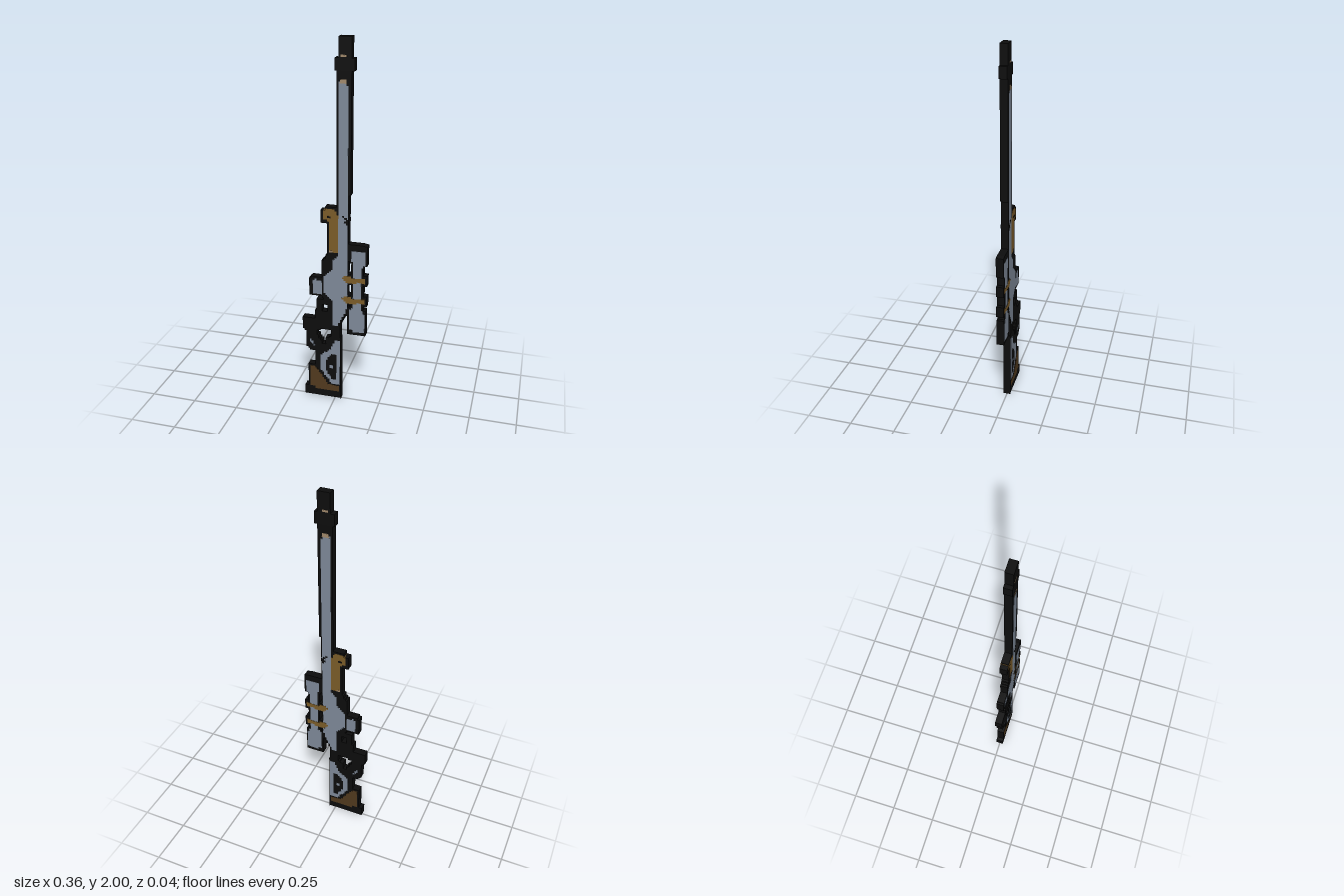
import * as THREE from 'three';

const CELL = 0.01;
const mat = (name, color) => new THREE.MeshStandardMaterial({ name, color });

// Turn a polygon into a pixel-like outline: sloped edges become stair steps
function stepped(points) {
  const p = points.map(([x, y]) => [Math.round(x / CELL * 2) / 2, Math.round(y / CELL * 2) / 2]);
  const out = [];
  p.forEach(([ax, ay], i) => {
    const [bx, by] = p[(i + 1) % p.length];
    const n = Math.floor(Math.min(Math.abs(bx - ax), Math.abs(by - ay)));
    out.push([ax, ay]);
    let y = ay;
    for (let k = 1; k <= n; k++) {
      const x = k === n ? bx : ax + Math.round((bx - ax) * k / n);
      out.push([x, y]);
      y = k === n ? by : ay + Math.round((by - ay) * k / n);
      if (k < n) out.push([x, y]);
    }
  });
  return out.map(([x, y]) => new THREE.Vector2(x * CELL, y * CELL));
}

const rect = (x0, y0, x1, y1) => [[x0, y0], [x1, y0], [x1, y1], [x0, y1]];

export function createModel() {
  const group = new THREE.Group();
  const black = mat('black frame', 0x0d0d0d);
  const grey = mat('blue grey metal', 0x7f8a99);
  const brown = mat('bronze', 0x7b5c29);
  const darkBrown = mat('dark brown', 0x513a1e);
  const tan = mat('tan', 0xa28a6c);

  // Slab of the given outline, centred on z = 0 so both sides match
  function slab(name, material, depth, outline, holes = []) {
    const shape = new THREE.Shape(stepped(outline));
    shape.holes = holes.map(h => new THREE.Path(stepped(h)));
    const geo = new THREE.ExtrudeGeometry(shape, { depth, bevelEnabled: false });
    geo.translate(0, 0, -depth / 2);
    const mesh = new THREE.Mesh(geo, material);
    mesh.name = name;
    group.add(mesh);
  }
  const frame = (name, outline, holes) => slab(name, black, 0.04, outline, holes);
  const inlay = (name, m, outline, holes) => slab(name, m, 0.042, outline, holes);
  const trim = (name, m, outline) => slab(name, m, 0.044, outline);

  // Barrel and muzzle
  frame('muzzle', rect(0.02, 1.84, 0.085, 2.0));
  frame('muzzleBrake', [[0, 1.84], [0.1, 1.84], [0.1, 1.9], [0.08, 1.9], [0.08, 1.91], [0.02, 1.91], [0.02, 1.9], [0, 1.9]]);
  frame('barrelFrame', [[0.01, 1.08], [0.075, 1.08], [0.075, 1.22], [0.085, 1.22], [0.085, 1.85], [0.02, 1.85], [0.01, 1.7]]);
  inlay('barrel', grey, [[0.02, 1.08], [0.07, 1.08], [0.07, 1.77], [0.06, 1.79], [0.03, 1.79], [0.02, 1.77]]);
  trim('barrelTip', tan, [[0.025, 1.78], [0.07, 1.78], [0.06, 1.8], [0.03, 1.8]]);
  trim('muzzlePin', tan, rect(0.03, 1.905, 0.06, 1.915));

  // Folding foregrip
  frame('foregripFrame', [[-0.04, 0.89], [0.03, 0.89], [0.03, 1.12], [0.01, 1.15], [-0.05, 1.15],
    [-0.05, 1.13], [-0.075, 1.13], [-0.075, 1.06], [-0.04, 1.06]]);
  inlay('foregrip', brown, [[-0.03, 0.9], [0.02, 0.9], [0.02, 1.11], [0, 1.14], [-0.04, 1.14],
    [-0.06, 1.12], [-0.06, 1.08], [-0.03, 1.06]]);
  trim('foregripPivot', black, [[-0.04, 1.09], [-0.02, 1.09], [-0.02, 1.1], [-0.04, 1.1]]);
  trim('foregripPin', tan, rect(-0.03, 0.9, -0.01, 0.91));

  // Receiver with magazine
  frame('receiverFrame', [[-0.01, 0.46], [0.01, 0.46], [0.07, 0.56], [0.075, 1.1], [0.02, 1.12],
    [0.01, 0.9], [-0.03, 0.89], [-0.07, 0.83], [-0.07, 0.75], [-0.12, 0.75], [-0.14, 0.73],
    [-0.14, 0.64], [-0.08, 0.64], [-0.06, 0.61], [-0.02, 0.61]]);
  inlay('receiver', grey, [[-0.01, 0.47], [0.01, 0.47], [0.05, 0.55], [0.07, 0.6], [0.07, 1.06], [0.04, 1.1],
    [0.02, 1.1], [0.02, 0.88], [0, 0.86], [-0.01, 0.8], [-0.06, 0.75], [-0.06, 0.66], [-0.03, 0.63], [-0.01, 0.61]]);
  inlay('magazine', grey, [[-0.12, 0.65], [-0.07, 0.65], [-0.07, 0.73], [-0.1, 0.74], [-0.12, 0.72]]);
  trim('receiverSeam', black, [[0.04, 1.1], [0.075, 1.07], [0.075, 1.09], [0.05, 1.11]]);

  // Telescopic sight
  frame('scopeFrame', [[0.07, 0.43], [0.17, 0.43], [0.17, 0.58], [0.155, 0.59], [0.155, 0.84], [0.175, 0.84],
    [0.175, 0.95], [0.15, 0.955], [0.07, 0.955], [0.07, 0.86], [0.09, 0.83], [0.09, 0.6], [0.07, 0.58]]);
  inlay('scopeTube', grey, [[0.08, 0.46], [0.1, 0.445], [0.165, 0.45], [0.165, 0.56], [0.145, 0.59], [0.145, 0.83],
    [0.165, 0.85], [0.165, 0.92], [0.09, 0.93], [0.09, 0.86], [0.1, 0.83], [0.1, 0.59], [0.08, 0.57]]);
  for (const [y, name] of [[0.635, 'rear'], [0.755, 'front']]) {
    frame(name + 'MountFrame', rect(0.06, y - 0.03, 0.175, y + 0.03));
    trim(name + 'Mount', brown, [[0.04, y], [0.06, y - 0.02], [0.09, y - 0.02], [0.12, y - 0.01], [0.165, y - 0.015],
      [0.165, y + 0.015], [0.12, y + 0.01], [0.09, y + 0.02], [0.06, y + 0.02]]);
  }

  // Trigger guard and pistol grip
  frame('triggerGuard', [[-0.11, 0.48], [0.03, 0.48], [0, 0.62], [-0.1, 0.62], [-0.1, 0.55], [-0.11, 0.52]],
    [rect(-0.07, 0.55, -0.04, 0.59)]);
  frame('pistolGrip', [[-0.16, 0.32], [-0.14, 0.3], [-0.08, 0.3], [-0.06, 0.28], [0.03, 0.28], [0.03, 0.5],
    [-0.18, 0.5], [-0.18, 0.43], [-0.16, 0.4]],
  [[[-0.1, 0.4], [-0.07, 0.35], [-0.05, 0.35], [-0.05, 0.39], [-0.02, 0.41], [-0.02, 0.44], [-0.07, 0.44], [-0.1, 0.42]]]);
  inlay('gripBadge', grey, [[-0.14, 0.35], [-0.11, 0.32], [-0.11, 0.34], [-0.13, 0.37], [-0.14, 0.37]]);

  // Shoulder stock
  frame('stockFrame', [[-0.17, 0.015], [0.035, 0.005], [0.035, 0.4], [-0.02, 0.38], [-0.06, 0.32], [-0.11, 0.3],
    [-0.11, 0.21], [-0.15, 0.2], [-0.15, 0.07], [-0.17, 0.07]]);
  inlay('stockBrace', grey, [[-0.02, 0.1], [0.03, 0.1], [0.03, 0.38], [0.01, 0.38], [-0.02, 0.32], [-0.08, 0.27],
    [-0.08, 0.18]], [[[-0.02, 0.13], [0.01, 0.13], [0.01, 0.29], [-0.01, 0.29], [-0.05, 0.24], [-0.05, 0.18]]]);
  inlay('stockSlot', grey, [[-0.03, 0.2], [-0.01, 0.2], [-0.01, 0.22], [-0.03, 0.22]]);
  inlay('buttPad', darkBrown, [[-0.14, 0.07], [-0.11, 0.055], [0.025, 0.055], [0.025, 0.09], [-0.03, 0.095],
    [-0.09, 0.18], [-0.11, 0.2], [-0.14, 0.2]]);

  return group;
}
